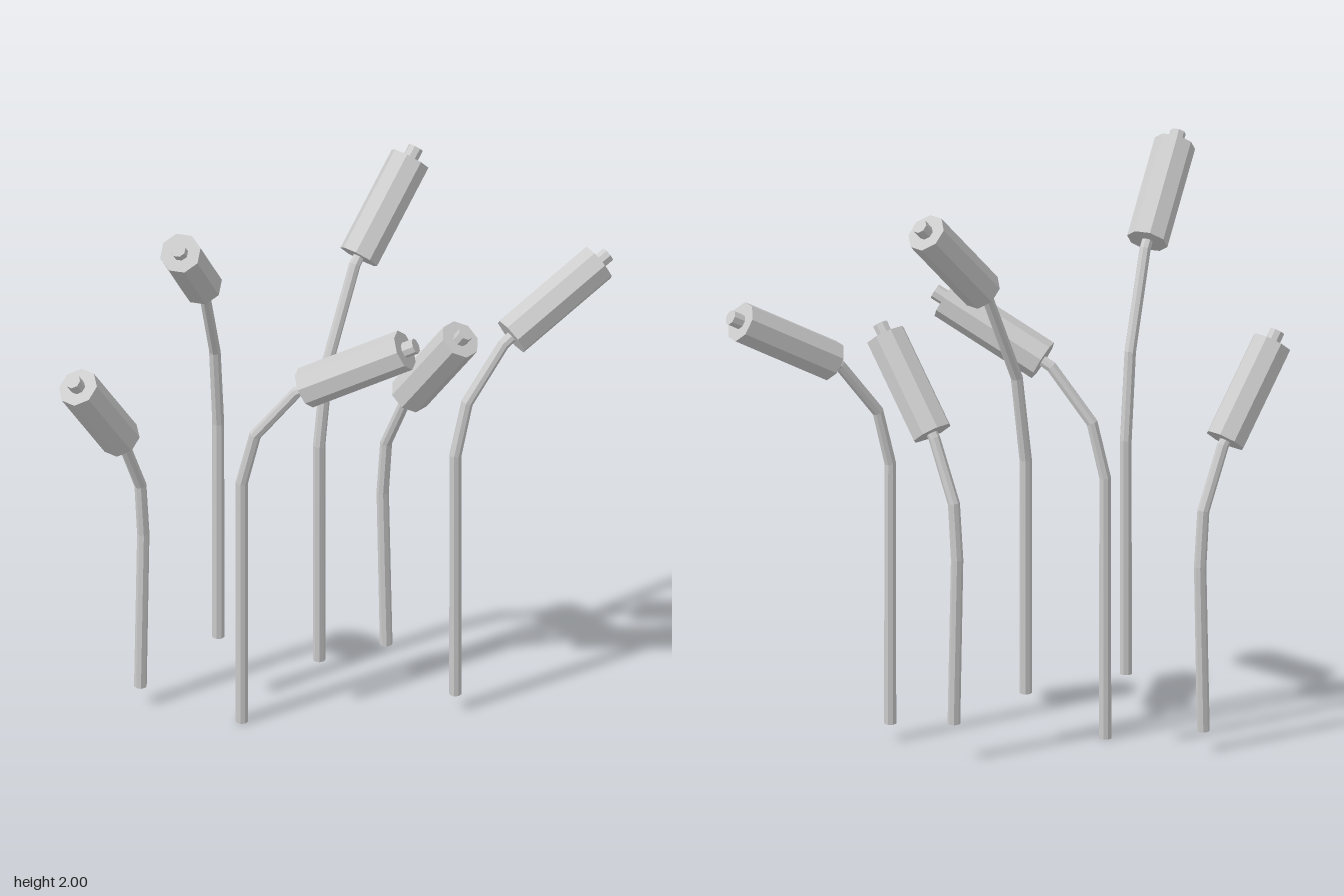
import * as THREE from 'three';

const material = new THREE.MeshStandardMaterial({ color: 0xcccccc, flatShading: true });
const SIDES = 8;

// Three plant shapes, each in its own plane: [lean, height] points of the stem and head
const SHAPES = {
  tall: { stem: [[0, 0], [0, 0.807], [0.041, 1.1], [0.18, 1.415], [0.23, 1.465]], head: [[0.2, 1.435], [0.458, 1.695]] },
  arched: { stem: [[0, 0], [0, 0.9], [0.045, 1.085], [0.185, 1.265], [0.25, 1.304]], head: [[0.215, 1.285], [0.55, 1.468]] },
  low: { stem: [[0, 0], [-0.015, 0.57], [0, 0.76], [0.092, 0.965], [0.13, 1.014]], head: [[0.102, 0.98], [0.322, 1.268]] },
};

// Base position and the horizontal direction (x, z) each plant leans in
const PLANTS = [
  { shape: 'low', base: [-0.43, 0.07, -0.492], lean: [-1, 0.02] },
  { shape: 'tall', base: [-0.265, 0.26, -0.296], lean: [-0.42, 0.196] },
  { shape: 'arched', base: [-0.296, 0, -0.167], lean: [0.26, 0.484] },
  { shape: 'tall', base: [-0.058, 0.18, -0.036], lean: [1, 0] },
  { shape: 'arched', base: [0.225, 0.058, 0.312], lean: [0.53, 0.173] },
  { shape: 'low', base: [0.232, 0.13, 0.005], lean: [0, 1] },
];

// Bent stem: each ring of a cylinder is moved onto a path point and tilted with the path
function makeStem(path) {
  const pts = path.map(([x, y]) => new THREE.Vector2(x, y));
  const last = pts.length - 1;
  const geometry = new THREE.CylinderGeometry(0.019, 0.021, last, SIDES, last);
  const pos = geometry.attributes.position;
  for (let i = 0; i < pos.count; i++) {
    const row = Math.round(pos.getY(i) + last / 2);
    const into = pts[row].clone().sub(pts[Math.max(row - 1, 0)]).normalize();
    const out = pts[Math.min(row + 1, last)].clone().sub(pts[row]).normalize();
    const t = into.add(out).normalize();
    const across = pos.getX(i);
    pos.setXY(i, pts[row].x + across * t.y, pts[row].y - across * t.x);
  }
  geometry.computeVertexNormals();
  const mesh = new THREE.Mesh(geometry, material);
  mesh.name = 'stem';
  return mesh;
}

// Straight eight-sided rod between two points of the plant's plane
function makeRod(name, a, b, radius) {
  const dx = b[0] - a[0], dy = b[1] - a[1];
  const geometry = new THREE.CylinderGeometry(radius, radius, Math.hypot(dx, dy), SIDES, 1, false, Math.PI / SIDES);
  const mesh = new THREE.Mesh(geometry, material);
  mesh.name = name;
  mesh.position.set((a[0] + b[0]) / 2, (a[1] + b[1]) / 2, 0);
  mesh.rotation.z = -Math.atan2(dx, dy);
  return mesh;
}

function makePlant({ shape, base, lean }) {
  const { stem, head: [bottom, top] } = SHAPES[shape];
  const length = Math.hypot(top[0] - bottom[0], top[1] - bottom[1]);
  const along = (d) => top.map((v, i) => v + (v - bottom[i]) * d / length);
  const plant = new THREE.Group();
  plant.name = 'reed';
  plant.add(
    makeStem(stem),
    makeRod('seedHead', bottom, top, 0.069),
    makeRod('spike', along(-0.03), along(0.042), 0.026),
  );
  plant.position.set(...base);
  plant.rotation.y = Math.atan2(-lean[1], lean[0]);
  return plant;
}

export function createModel() {
  const model = new THREE.Group();
  model.name = 'reedCluster';
  PLANTS.forEach((p) => model.add(makePlant(p)));
  return model;
}
